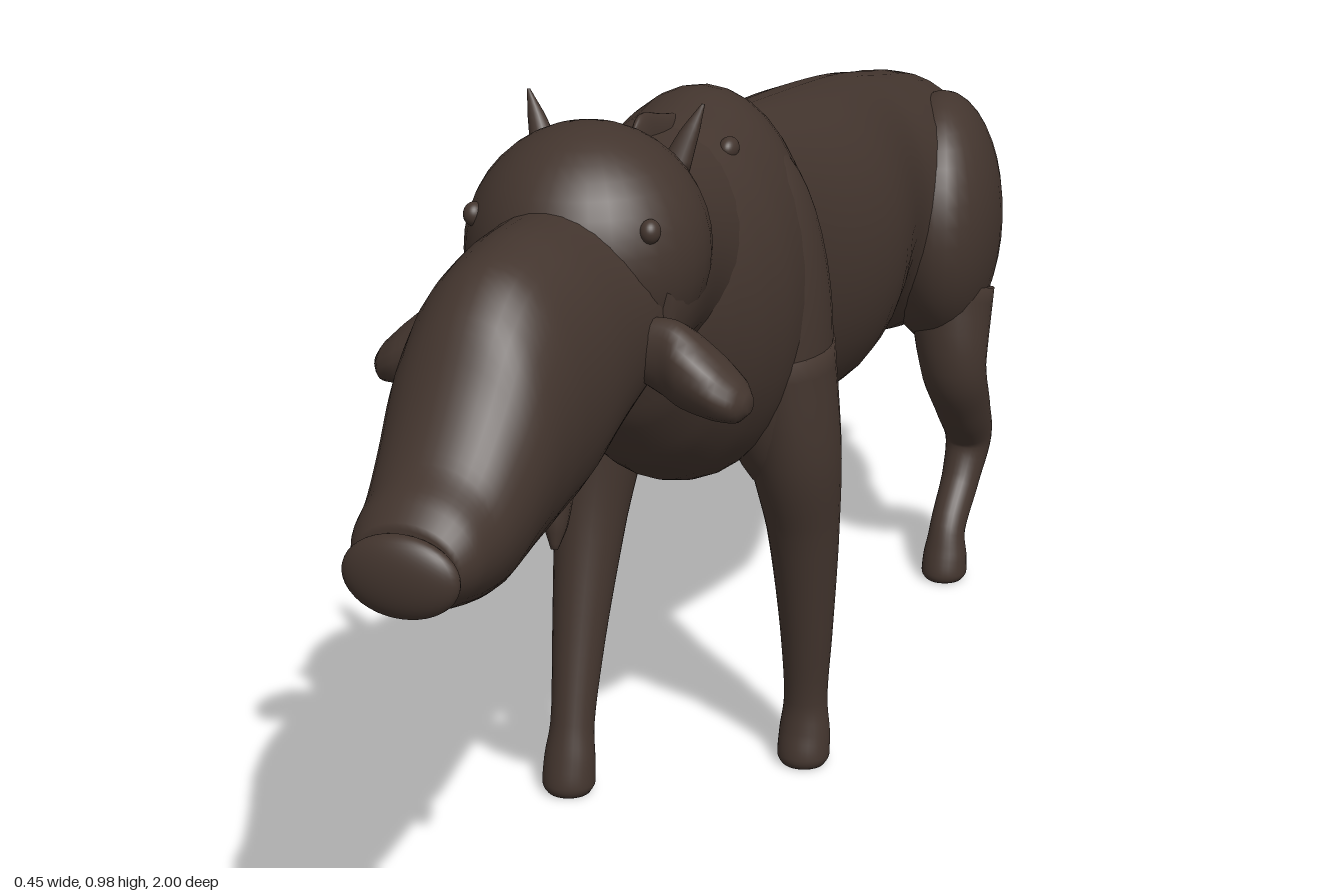
import * as THREE from 'three';

const hide = new THREE.MeshStandardMaterial({ color: 0x43352e });
hide.name = 'dark brown hide';

// Smooth tube through stations [x, y, z, half width across x, half depth];
// upright keeps every section vertical instead of square to the path
function sweep(stations, { steps = 5, sides = 28, upright = false } = {}) {
  const path = new THREE.CatmullRomCurve3(stations.map(s => new THREE.Vector3(s[0], s[1], s[2])));
  const size = new THREE.CatmullRomCurve3(stations.map(s => new THREE.Vector3(s[3], s[4], 0)));
  const rings = (stations.length - 1) * steps;
  const across = new THREE.Vector3(1, 0, 0);
  const pos = [], index = [];
  for (let i = 0; i <= rings; i++) {
    const t = i / rings, c = path.getPoint(t), r = size.getPoint(t);
    const up = upright ? new THREE.Vector3(0, 1, 0) : path.getTangent(t).cross(across).normalize();
    for (let j = 0; j < sides; j++) {
      const a = (j / sides) * Math.PI * 2;
      const u = Math.cos(a) * Math.max(r.x, 0.001), v = Math.sin(a) * Math.max(r.y, 0.001);
      pos.push(c.x + u, c.y + up.y * v, c.z + up.z * v);
      if (i < rings) {
        const k = (j + 1) % sides, p = i * sides, q = p + sides;
        index.push(p + j, p + k, q + j, p + k, q + k, q + j);
      }
    }
  }
  // End caps
  [0, rings].forEach(i => {
    const c = path.getPoint(i / rings), n = pos.length / 3, p = i * sides;
    pos.push(c.x, c.y, c.z);
    for (let j = 0; j < sides; j++) {
      const k = (j + 1) % sides;
      if (i) index.push(n, p + j, p + k); else index.push(n, p + k, p + j);
    }
  });
  const g = new THREE.BufferGeometry();
  g.setAttribute('position', new THREE.Float32BufferAttribute(pos, 3));
  g.setIndex(index);
  g.computeVertexNormals();
  return g;
}

// Sections along the body, given as [z, top, bottom, half width]
const along = rows =>
  sweep(rows.map(([z, t, b, w]) => [0, (t + b) / 2, z, w, (t - b) / 2]), { upright: true, sides: 36 });

export function createModel() {
  const model = new THREE.Group();
  const add = (name, geometry) => {
    const m = new THREE.Mesh(geometry, hide);
    m.name = name;
    model.add(m);
    return m;
  };
  const ball = (name, x, y, z, rx, ry, rz) => {
    const m = add(name, new THREE.SphereGeometry(1, 32, 20));
    m.position.set(x, y, z);
    m.scale.set(rx, ry, rz);
    return m;
  };

  // Torso from rump to chest
  add('torso', along([
    [-0.928, 0.6, 0.54, 0.02], [-0.915, 0.645, 0.49, 0.06], [-0.88, 0.7, 0.43, 0.103],
    [-0.8, 0.74, 0.38, 0.142], [-0.7, 0.765, 0.365, 0.158], [-0.6, 0.785, 0.385, 0.15], [-0.5, 0.805, 0.425, 0.13],
    [-0.28, 0.835, 0.398, 0.158], [-0.06, 0.86, 0.43, 0.125], [0.08, 0.87, 0.44, 0.12], [0.2, 0.85, 0.5, 0.08],
  ]));
  add('chest', along([
    [-0.1, 0.8, 0.5, 0.09], [-0.03, 0.875, 0.44, 0.118], [0.08, 0.923, 0.425, 0.152], [0.17, 0.913, 0.432, 0.158],
    [0.25, 0.9, 0.46, 0.148], [0.32, 0.885, 0.51, 0.128], [0.37, 0.86, 0.58, 0.105], [0.395, 0.8, 0.66, 0.06],
  ]));

  // Head: neck, round skull and long snout
  add('neck', along([
    [0.15, 0.9, 0.55, 0.125], [0.26, 0.908, 0.6, 0.123], [0.35, 0.92, 0.645, 0.125],
    [0.45, 0.94, 0.652, 0.135], [0.53, 0.9, 0.645, 0.125],
  ]));
  ball('skull', 0, 0.822, 0.46, 0.142, 0.145, 0.145);
  add('snout', along([
    [0.42, 0.9, 0.655, 0.12], [0.5, 0.895, 0.642, 0.12], [0.58, 0.895, 0.608, 0.113], [0.67, 0.895, 0.572, 0.11],
    [0.745, 0.882, 0.558, 0.104], [0.8, 0.842, 0.55, 0.098], [0.85, 0.772, 0.545, 0.09], [0.9, 0.714, 0.555, 0.081],
    [0.94, 0.692, 0.567, 0.074], [0.97, 0.668, 0.58, 0.06],
  ]));
  ball('noseDisc', 0, 0.62, 0.978, 0.066, 0.046, 0.022);

  for (const side of [1, -1]) {
    const label = side > 0 ? 'left' : 'right';
    ball(label + 'Eye', side * 0.106, 0.872, 0.54, 0.012, 0.014, 0.014);
    // Drooping side ear, built along its own z then turned outwards
    const ear = add(label + 'Ear', sweep([
      [0, 0.74, 0.08, 0.02, 0.03], [0, 0.732, 0.125, 0.026, 0.045], [0, 0.722, 0.15, 0.037, 0.048],
      [0, 0.702, 0.19, 0.042, 0.036], [0, 0.69, 0.215, 0.032, 0.024], [0, 0.687, 0.227, 0.012, 0.01],
    ], { steps: 4, sides: 18, upright: true }));
    ear.rotation.y = side * Math.PI / 2;
    ear.position.z = 0.55;
    // Small curved horns, nape bumps and lower tusks
    add(label + 'Horn', sweep([
      [side * 0.078, 0.9, 0.392, 0.02, 0.016], [side * 0.094, 0.945, 0.38, 0.012, 0.01],
      [side * 0.108, 0.977, 0.372, 0.002, 0.002],
    ], { steps: 4, sides: 12 }));
    add(label + 'Tusk', sweep([
      [side * 0.055, 0.61, 0.7, 0.018, 0.024], [side * 0.057, 0.58, 0.708, 0.013, 0.016],
      [side * 0.058, 0.555, 0.715, 0.004, 0.004],
    ], { steps: 4, sides: 12 }));
    ball(label + 'NapeBump', side * 0.075, 0.876, 0.19, 0.012, 0.014, 0.018);
    // Shoulder and haunch muscles
    const shoulder = ball(label + 'Shoulder', side * 0.095, 0.63, 0.09, 0.077, 0.23, 0.1);
    shoulder.rotation.z = side * 0.06;
    const haunch = ball(label + 'Haunch', side * 0.1, 0.55, -0.69, 0.094, 0.19, 0.175);
    haunch.rotation.y = side * 0.22;
  }

  // Low crest along the nape
  add('napeCrest', along([
    [0.15, 0.905, 0.86, 0.006], [0.22, 0.92, 0.86, 0.014], [0.29, 0.936, 0.86, 0.012], [0.32, 0.92, 0.86, 0.004],
  ]));

  // Walking front legs: one upright, one reaching forward
  const frontLeg = (side, [upper, elbow, shin, ankle, foot]) => sweep([
    [side * 0.12, 0.6, 0.09, 0.055, 0.09], [side * 0.13, 0.46, upper, 0.058, 0.07],
    [side * 0.135, 0.35, elbow, 0.047, 0.053], [side * 0.135, 0.2, shin, 0.035, 0.037],
    [side * 0.132, 0.09, ankle, 0.029, 0.029], [side * 0.132, 0.045, foot, 0.034, 0.031],
    [side * 0.132, 0.012, foot + 0.005, 0.035, 0.034], [side * 0.132, 0, foot + 0.005, 0.029, 0.028],
  ]);
  add('leftFrontLeg', frontLeg(1, [0.09, 0.07, 0.052, 0.043, 0.046]));
  add('rightFrontLeg', frontLeg(-1, [0.108, 0.135, 0.182, 0.217, 0.228]));

  // Hind legs: thigh back to the hock, then forward to the hoof
  const hindLeg = (side, [thigh, knee, shin, hock, ankle, foot]) => sweep([
    [side * 0.13, 0.46, thigh, 0.065, 0.08], [side * 0.145, 0.345, knee, 0.05, 0.047],
    [side * 0.15, 0.27, shin, 0.042, 0.043], [side * 0.15, 0.2, hock, 0.035, 0.034],
    [side * 0.145, 0.14, ankle, 0.029, 0.029], [side * 0.14, 0.075, foot - 0.01, 0.027, 0.027],
    [side * 0.14, 0.035, foot, 0.033, 0.032], [side * 0.14, 0.01, foot + 0.004, 0.034, 0.035],
    [side * 0.14, 0, foot + 0.004, 0.028, 0.029],
  ]);
  add('leftHindLeg', hindLeg(1, [-0.65, -0.62, -0.662, -0.706, -0.685, -0.623]));
  add('rightHindLeg', hindLeg(-1, [-0.68, -0.72, -0.81, -0.88, -0.865, -0.803]));

  // Thin tail with a tuft
  add('tail', sweep([
    [0, 0.58, -0.9, 0.022, 0.022], [0, 0.5, -0.915, 0.02, 0.02], [0, 0.43, -0.938, 0.012, 0.012],
    [0, 0.36, -0.965, 0.011, 0.011],
  ], { sides: 14 }));
  ball('tailTuft', 0, 0.348, -0.97, 0.019, 0.022, 0.03);

  return model;
}
